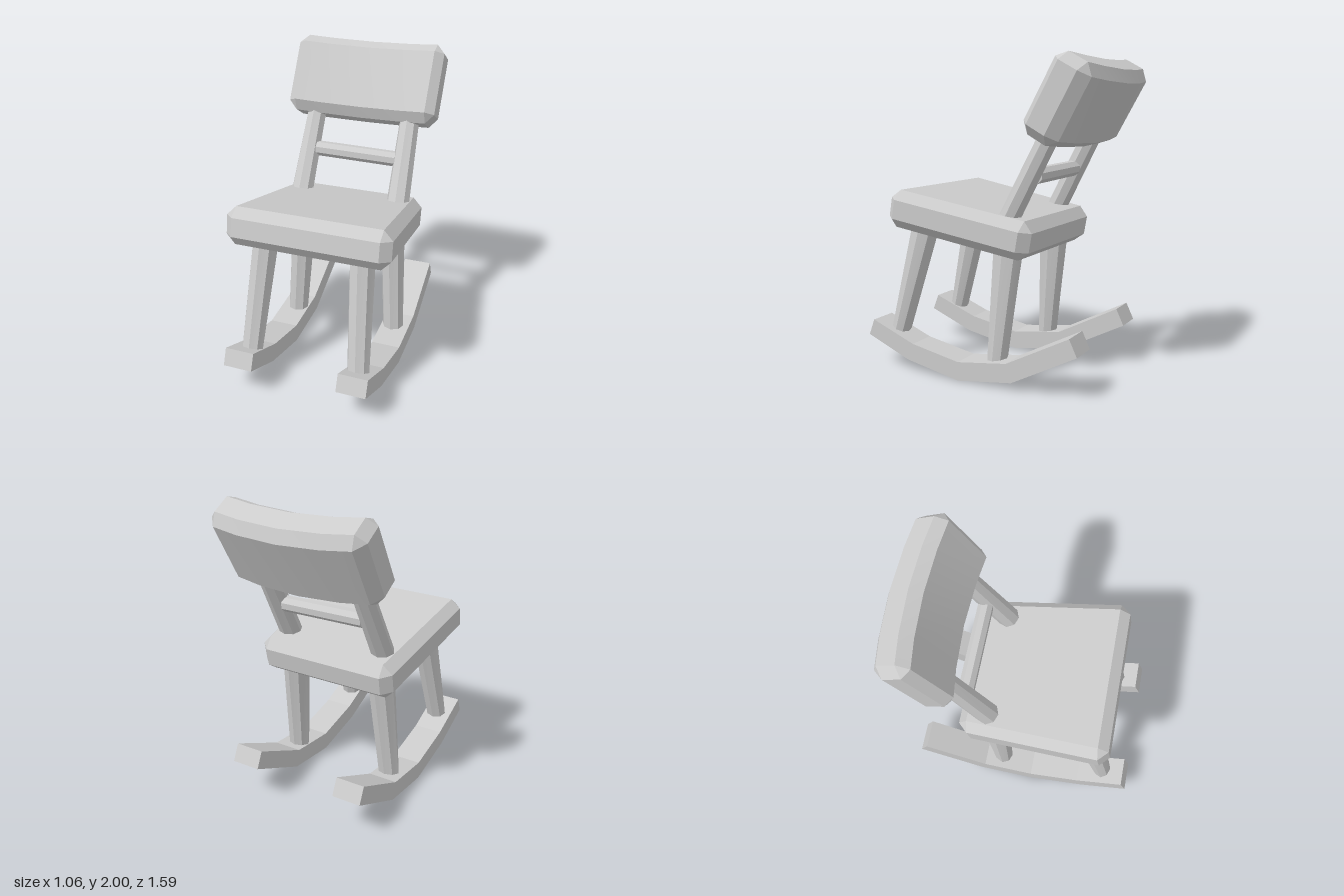
import * as THREE from 'three';
import { toCreasedNormals } from 'three/addons/utils/BufferGeometryUtils.js';

const material = new THREE.MeshStandardMaterial({ color: 0xcccccc });

// Closed solid through rings of equal point count, capped at both ends
function loft(rings) {
  const out = [];
  const tri = (a, b, c) => {
    const area = b.clone().sub(a).cross(c.clone().sub(a)).length();
    if (area > 1e-8) for (const p of [a, b, c]) out.push(p.x, p.y, p.z);
  };
  const n = rings[0].length;
  for (let i = 0; i < rings.length - 1; i++) {
    const r = rings[i], s = rings[i + 1];
    for (let j = 0; j < n; j++) {
      const k = (j + 1) % n;
      tri(r[j], r[k], s[k]);
      tri(r[j], s[k], s[j]);
    }
  }
  const first = rings[0], last = rings[rings.length - 1];
  for (let j = 1; j < n - 1; j++) {
    tri(first[0], first[j + 1], first[j]);
    tri(last[0], last[j], last[j + 1]);
  }
  const geometry = new THREE.BufferGeometry();
  geometry.setAttribute('position', new THREE.Float32BufferAttribute(out, 3));
  return toCreasedNormals(geometry, 0.4);
}

// Rectangle with cut corners; cuts of 0 give the plain end rectangle
function cutRect(a, b, cutA, cutB, place) {
  return [
    [a, -b + cutB], [a, b - cutB], [a - cutA, b], [-a + cutA, b],
    [-a, b - cutB], [-a, -b + cutB], [-a + cutA, -b], [a - cutA, -b],
  ].map(([u, v]) => place(u, v));
}

// Eight-sided limb, each end given as [x, y, z, radiusX, radiusZ]
function limb(bottom, top) {
  return loft([bottom, top].map(([x, y, z, rx, rz]) =>
    Array.from({ length: 8 }, (_, i) => {
      const t = (i * Math.PI) / 4;
      return new THREE.Vector3(x + rx * Math.sin(t), y, z + rz * Math.cos(t));
    })));
}

export function createModel() {
  const group = new THREE.Group();
  const add = (name, geometry) => {
    const mesh = new THREE.Mesh(geometry, material);
    mesh.name = name;
    group.add(mesh);
    return mesh;
  };
  const C = 0.06; // bevel width

  // Seat: bevelled slab, wider at the front, tilted back
  const seatRing = (z, w, h, c) =>
    cutRect(w, h, c, c, (x, y) => new THREE.Vector3(x, y, z));
  const seat = add('seat', loft([
    seatRing(-0.49, 0.41, 0.06, 0),
    seatRing(-0.428, 0.47, 0.121, C),
    seatRing(0.428, 0.53, 0.121, C),
    seatRing(0.49, 0.47, 0.06, 0),
  ]));
  seat.position.set(0, 0.984, 0.12);
  seat.rotation.x = -0.175;

  // Backrest: bevelled slab bowed backwards
  const backRing = (x, end) => {
    const bow = -0.046 * (1 - (x / 0.45) ** 2);
    const c = end ? 0 : C, inset = end ? C : 0;
    return cutRect(0.262 - inset, 0.125 - inset, c, c,
      (y, z) => new THREE.Vector3(x, y, z + bow));
  };
  const backrest = add('backrest', loft([
    backRing(-0.506, true),
    ...[-0.45, -0.27, 0, 0.27, 0.45].map((x) => backRing(x, false)),
    backRing(0.506, true),
  ]));
  backrest.position.set(0, 1.736, -0.545);
  backrest.rotation.x = -0.505;

  // Rung between the back posts
  const rungGeometry = new THREE.CylinderGeometry(0.051, 0.051, 0.56, 8).toNonIndexed();
  rungGeometry.rotateY(Math.PI / 8 + 0.06);
  rungGeometry.rotateZ(Math.PI / 2);
  const rung = add('rung', toCreasedNormals(rungGeometry, 0.4));
  rung.position.set(0, 1.29, -0.325);
  rung.rotation.z = -0.015;

  // Rocker outline as (z, y)
  const rockerShape = new THREE.Shape([
    [0.8, 0.2], [0.76, 0.305], [0.45, 0.185], [0.11, 0.12], [-0.23, 0.165],
    [-0.645, 0.38], [-0.695, 0.275], [-0.265, 0.05], [0.11, 0], [0.49, 0.075],
  ].map(([z, y]) => new THREE.Vector2(z, y)));
  const rockerGeometry = new THREE.ExtrudeGeometry(rockerShape, { depth: 0.19, bevelEnabled: false });
  rockerGeometry.rotateY(-Math.PI / 2);
  rockerGeometry.translate(0.095, 0, 0);

  // Paired parts
  for (const [side, s] of [['left', 1], ['right', -1]]) {
    add(side + 'Rocker', rockerGeometry).position.x = s * 0.375;
    add(side + 'FrontLeg', limb(
      [s * 0.36, 0.22, 0.622, 0.071, 0.06], [s * 0.314, 1.02, 0.417, 0.081, 0.104]));
    add(side + 'RearLeg', limb(
      [s * 0.36, 0.1, -0.108, 0.071, 0.061], [s * 0.314, 0.95, -0.176, 0.081, 0.109]));
    add(side + 'BackPost', limb(
      [s * 0.342, 0.95, -0.143, 0.078, 0.077], [s * 0.326, 1.62, -0.49, 0.063, 0.074]));
  }
  return group;
}
